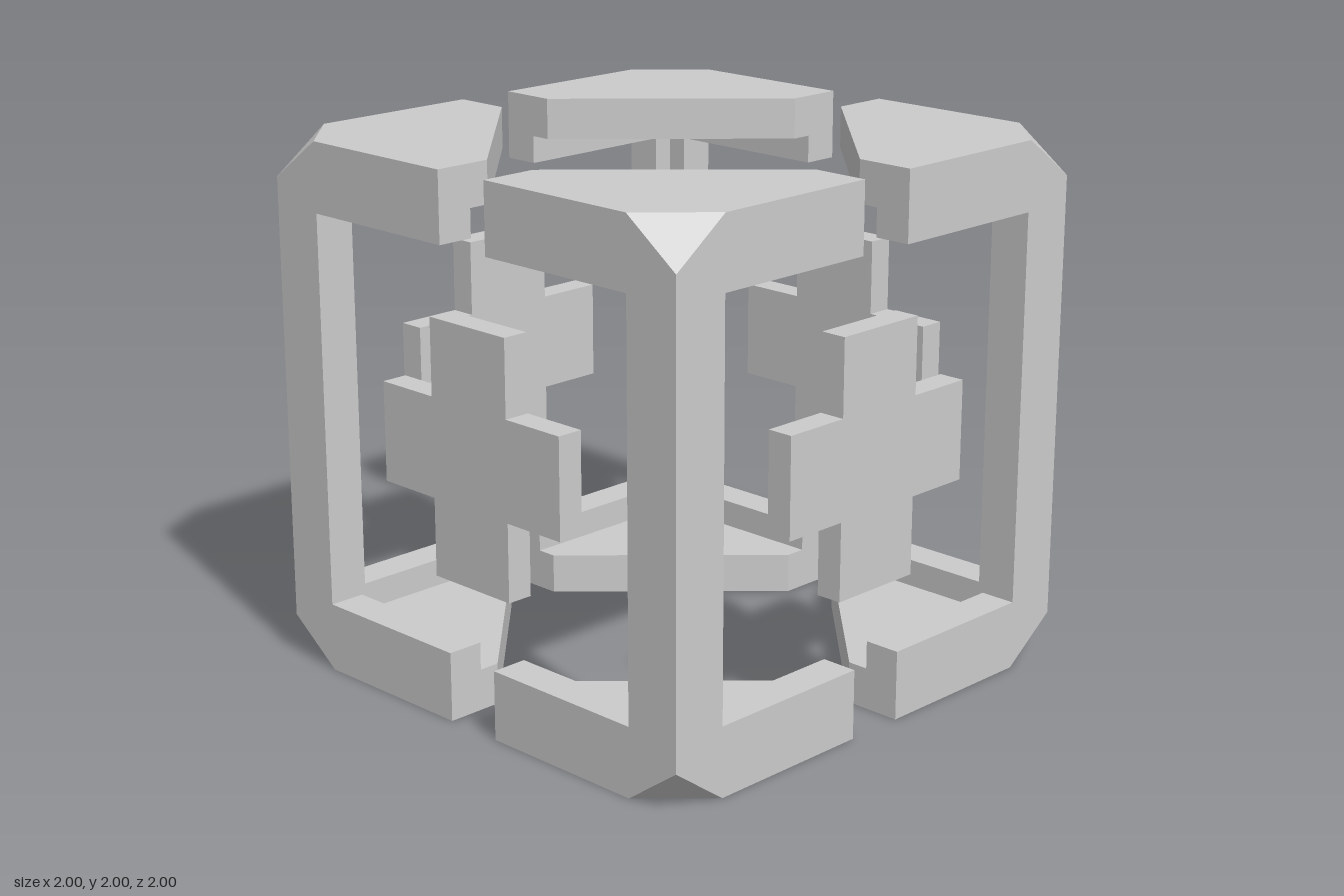
import * as THREE from 'three';

const WALL = 0.14;   // thickness of the upright walls
const PLATE = 0.155; // thickness of the top and bottom plates
const GAP = 0.115;   // half the slot between neighbouring corners
const IN = 0.78;     // inner edge of the posts and start of the corner cut
const CUT = 0.16;    // height of the corner cut

const material = new THREE.MeshStandardMaterial({ color: 0xcccccc, flatShading: true });

function mesh(geometry, name) {
  const m = new THREE.Mesh(geometry, material);
  m.name = name;
  return m;
}

function extrude(points, depth) {
  const shape = new THREE.Shape(points.map(([x, y]) => new THREE.Vector2(x, y)));
  return new THREE.ExtrudeGeometry(shape, { depth, bevelEnabled: false });
}

// Extruded slab whose inner face is pulled in, so neighbouring slabs meet in a mitre
function mitredSlab(points, depth, limitX, limitY) {
  const g = extrude(points, depth);
  const p = g.attributes.position;
  for (let i = 0; i < p.count; i++) {
    if (p.getZ(i) > depth / 2) continue;
    p.setX(i, THREE.MathUtils.clamp(p.getX(i), -limitX, limitX));
    p.setY(i, THREE.MathUtils.clamp(p.getY(i), -limitY, limitY));
  }
  g.computeVertexNormals();
  return g;
}

// C-shaped wall, y measured from mid height; side = 1 or -1
function wall(side) {
  const half = [[GAP, 0.74], [GAP, 1], [IN, 1], [1, 1 - CUT]];
  const points = [
    ...half,
    ...half.map(([x, y]) => [x, -y]).reverse(),
    [IN, -0.74], [IN, 0.74],
  ].map(([x, y]) => [x * side, y]);
  return mitredSlab(points, WALL, 1 - WALL, 1 - PLATE).translate(0, 1, 1 - WALL);
}

// Six-sided plate at the top (up = 1) or bottom (up = -1)
function plate(up) {
  const points = [[GAP, 1], [IN, 1], [1, IN], [1, GAP], [IN, GAP], [GAP, IN]]
    .map(([x, z]) => [x, -up * z]);
  return mitredSlab(points, PLATE, 1 - WALL, 1 - WALL)
    .rotateX(-up * Math.PI / 2)
    .translate(0, 1 + up * (1 - PLATE), 0);
}

// Triangular facet that closes the cut corner
function facet(up) {
  const corners = [[IN, 1, 1], [1, 1 - CUT, 1], [1, 1, IN]];
  if (up < 0) corners.reverse();
  const g = new THREE.BufferGeometry();
  g.setAttribute('position', new THREE.Float32BufferAttribute(
    corners.flatMap(([x, y, z]) => [x, 1 + up * y, z]), 3));
  g.computeVertexNormals();
  return g;
}

function cornerBracket() {
  const g = new THREE.Group();
  g.name = 'cornerBracket';
  g.add(mesh(wall(1), 'frontWall'));
  g.add(mesh(wall(-1).rotateY(Math.PI / 2), 'sideWall'));
  for (const up of [1, -1]) {
    const end = up > 0 ? 'top' : 'bottom';
    g.add(mesh(plate(up), end + 'Plate'));
    g.add(mesh(facet(up), end + 'CornerFacet'));
  }
  return g;
}

// Floating cross in the middle of a face
function facePanel() {
  const points = [
    [-0.19, 0.53], [0.19, 0.53], [0.19, 0.82], [0.45, 0.82], [0.45, 1.19], [0.19, 1.19],
    [0.19, 1.475], [-0.19, 1.475], [-0.19, 1.19], [-0.45, 1.19], [-0.45, 0.82], [-0.19, 0.82],
  ];
  return mesh(extrude(points, 0.1).translate(0, 0, 0.89), 'crossPanel');
}

export function createModel() {
  const model = new THREE.Group();
  model.name = 'openCubeFrame';
  // One bracket and one cross per quarter turn
  for (let i = 0; i < 4; i++) {
    const quarter = new THREE.Group();
    quarter.name = 'quarter' + (i + 1);
    quarter.add(cornerBracket(), facePanel());
    quarter.rotation.y = i * Math.PI / 2;
    model.add(quarter);
  }
  return model;
}
